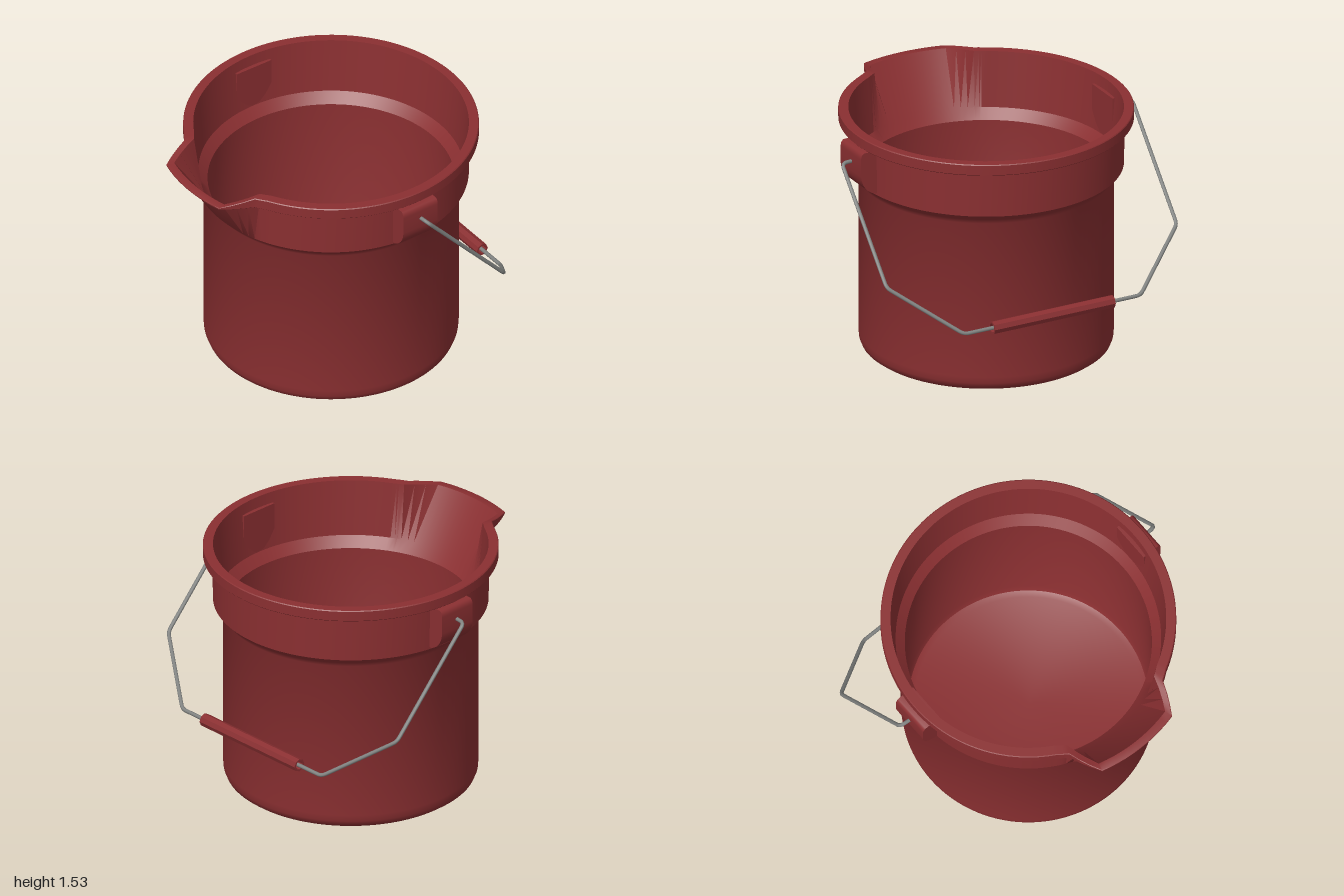
import * as THREE from 'three';
import { toCreasedNormals } from 'three/addons/utils/BufferGeometryUtils.js';

const CENTER_Z = -0.08; // axis of the round bucket

// 1 across the spout lip, fading to 0 where its sides meet the round rim
function spoutWeight(theta) {
  const d = Math.abs(THREE.MathUtils.radToDeg(theta));
  if (d <= 15) return 1;
  if (d <= 24) return 1 - 0.93 * (d - 15) / 9;
  return d < 29 ? 0.07 * (29 - d) / 5 : 0;
}

// Closed wall profile at one angle: outside going up, over the rim, inside going down
function bucketProfile(theta) {
  const w = spoutWeight(theta);
  return [
    [0, 0.012], [0.66, 0.012], [0.67, 0],
    [0.715, 0.008], [0.745, 0.03], [0.757, 0.06], [0.76, 0.1],
    [0.76, 1.1], [0.785, 1.135], [0.82, 1.17],        // outer shoulder
    [0.825 + 0.18 * w, 1.46 + 0.01 * w],              // upper wall, leaning out at the spout
    [0.875 + 0.165 * w, 1.46 + 0.013 * w],            // rim band
    [0.88 + 0.165 * w, 1.465 + 0.01 * w],
    [0.88 + 0.165 * w, 1.525 - 0.043 * w],
    [0.875 + 0.165 * w, 1.53 - 0.045 * w],
    [0.82 + 0.175 * w, 1.53 - 0.045 * w],
    [0.79, 1.18], [0.735, 1.12],                      // inner shoulder
    [0.73, 0.09], [0.715, 0.05], [0.68, 0.035], [0, 0.035],
  ];
}

function bucketGeometry() {
  const angles = [];
  for (let d = -180; d <= 180; d += 3) angles.push(d);
  angles.push(-29, -26, 26, 29);
  angles.sort((a, b) => a - b);

  const positions = [], index = [];
  let n = 0;
  for (const deg of angles) {
    const t = THREE.MathUtils.degToRad(deg);
    const profile = bucketProfile(t);
    n = profile.length;
    for (const [r, y] of profile) {
      positions.push(r * Math.sin(t), y, CENTER_Z + r * Math.cos(t));
    }
  }
  for (let i = 0; i < angles.length - 1; i++) {
    for (let j = 0; j < n - 1; j++) {
      const a = i * n + j, b = a + n;
      if (j > 0) index.push(a, b, b + 1);
      if (j < n - 2) index.push(a, b + 1, a + 1);
    }
  }
  const geo = new THREE.BufferGeometry();
  geo.setAttribute('position', new THREE.Float32BufferAttribute(positions, 3));
  geo.setIndex(index);
  return toCreasedNormals(geo, 0.65);
}

// Handle mount: a rounded side profile extruded along z
function earGeometry() {
  const s = new THREE.Shape();
  s.moveTo(0.79, 1.46);
  s.lineTo(0.9, 1.46);
  s.quadraticCurveTo(0.92, 1.45, 0.92, 1.42);
  s.lineTo(0.92, 1.31);
  s.quadraticCurveTo(0.91, 1.22, 0.83, 1.185);
  s.lineTo(0.79, 1.185);
  s.closePath();
  const geo = new THREE.ExtrudeGeometry(s, { depth: 0.25, bevelEnabled: false, curveSegments: 6 });
  geo.translate(0, 0, -0.205);
  return toCreasedNormals(geo, 0.6);
}

// Polyline path with softly rounded corners
function roundedPath(points, radius) {
  const path = new THREE.CurvePath();
  let last = points[0];
  for (let i = 1; i < points.length - 1; i++) {
    const p = points[i];
    const toward = (q) => p.clone().add(q.clone().sub(p).setLength(radius));
    const a = toward(points[i - 1]), b = toward(points[i + 1]);
    path.add(new THREE.LineCurve3(last, a));
    path.add(new THREE.QuadraticBezierCurve3(a, p, b));
    last = b;
  }
  path.add(new THREE.LineCurve3(last, points[points.length - 1]));
  return path;
}

export function createModel() {
  const red = new THREE.MeshStandardMaterial({ color: 0x8a2f31 });
  red.name = 'red plastic';
  const steel = new THREE.MeshStandardMaterial({ color: 0x808280 });
  steel.name = 'steel wire';

  const model = new THREE.Group();
  model.name = 'bucket';
  const add = (name, geo, mat) => {
    const mesh = new THREE.Mesh(geo, mat);
    mesh.name = name;
    model.add(mesh);
    return mesh;
  };

  add('bucketBody', bucketGeometry(), red);

  // Mounts on both sides
  add('leftHandleMount', earGeometry(), red);
  add('rightHandleMount', earGeometry(), red).rotation.y = Math.PI;
  model.getObjectByName('rightHandleMount').position.z = -0.16;

  // Wire bail, hanging down behind the bucket
  const half = [[0.88, 1.37, -0.08], [0.986, 1.37, -0.09], [0.986, 0.77, -0.64], [0.6, 0.487, -0.892]];
  const points = [
    ...half.map(([x, y, z]) => new THREE.Vector3(x, y, z)),
    ...half.slice().reverse().map(([x, y, z]) => new THREE.Vector3(-x, y, z)),
  ];
  add('wireHandle', new THREE.TubeGeometry(roundedPath(points, 0.03), 240, 0.012, 8), steel);

  // Hollow eight-sided grip around the wire
  const ring = [[0.028, -0.41], [0.04, -0.41], [0.04, 0.41], [0.028, 0.41], [0.028, -0.41]];
  const gripGeo = new THREE.LatheGeometry(ring.map(([r, y]) => new THREE.Vector2(r, y)), 8);
  const grip = add('handleGrip', toCreasedNormals(gripGeo, 0.3), red);
  grip.rotation.z = Math.PI / 2;
  grip.position.set(0, 0.487, -0.892);

  return model;
}
